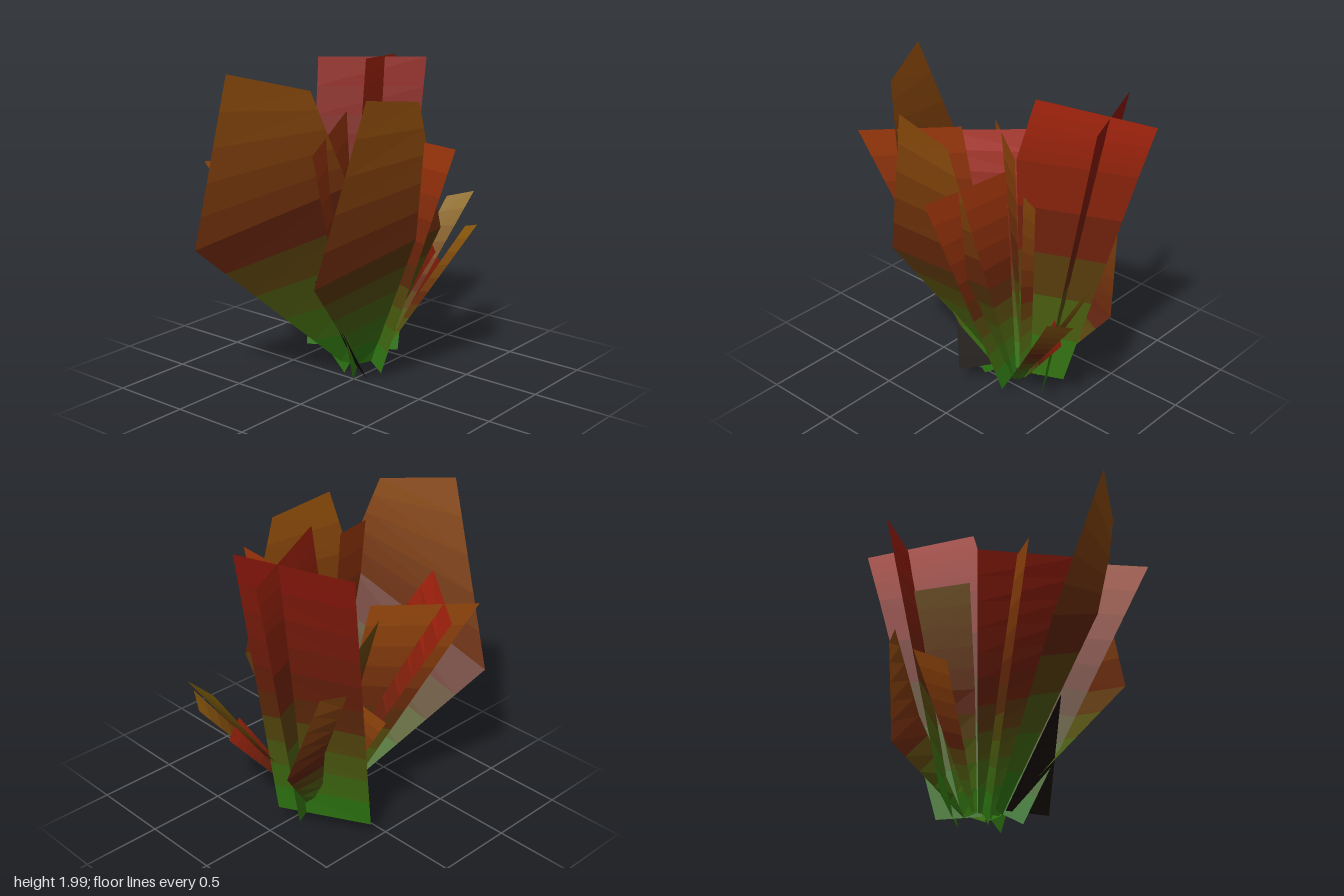
import * as THREE from 'three';

const BASE = 0x148214, MID = 0x5e200a;
const BANDS = 5;

// Each blade: tip colour, then rows of [left, right] edge points from root to tip.
const BLADES = {
  frontBlade: [0x8a4a0c, [[-0.1, 0.1, 0], [0.01, 0.1, -0.03]], [[-0.6, 0.9, 0.74], [0.35, 1.39, 0.48]], [[-0.2, 2, 0.85], [0.23, 1.93, 0.65]]],
  leftBlade: [0x95520c, [[0.01, 0.1, -0.04], [0.05, 0.1, -0.17]], [[0.26, 0.82, 0.67], [0.43, 1, -0.29]], [[0.41, 1.86, 0.4], [0.46, 1.8, -0.02]]],
  frontRightBlade: [0xa0200c, [[-0.1, 0.1, -0.12], [0.01, 0.1, -0.05]], [[-0.4, 0.77, 0.09], [0.01, 0.95, 0.38]], [[-0.69, 1.41, 0.3], [-0.21, 1.46, 0.67]]],
  backBlade: [0x8c160c, [[-0.47, 0.1, -0.1], [0.05, 0.1, -0.38]], [[-0.64, 1.9, -0.43], [0.01, 1.93, -0.7]]],
  sideRightBlade: [0x6b4a0c, [[-0.08, 0.1, -0.25], [-0.11, 0.1, -0.12]], [[-0.36, 0.8, -0.26], [-0.25, 0.8, -0.04]], [[-0.53, 1.4, -0.29], [-0.39, 1.42, 0.02]]],
  // upright blades standing edge-on to the centre
  backFin: [0xa8240c, [[-0.04, 0.1, -0.14], [-0.15, 0.1, -0.39]], [[-0.025, 1.58, -0.1], [-0.306, 1.58, -0.76]], [[-0.07, 1.97, -0.2], [-0.34, 1.9, -0.845]]],
  frontFin: [0xa03a0c, [[0, 0.12, -0.05], [0.06, 0.04, 0.08]], [[0.11, 1.74, 0.2], [0.37, 1.62, 0.8]]],
  frontRightFin: [0x9c4a0c, [[-0.08, 0.12, -0.11], [-0.11, 0.01, -0.04]], [[-0.24, 1.43, 0.1], [-0.63, 1.41, 0.61]]],
  leftFin: [0xa8380c, [[0, 0.12, -0.13], [0.12, 0.04, -0.12]], [[0.1, 1.56, -0.13], [0.685, 1.55, -0.06]]],
  rightFin: [0x9c4a0c, [[-0.08, 0.12, -0.14], [-0.14, 0.1, -0.14]], [[-0.25, 0.99, -0.16], [-0.65, 0.94, -0.18]]],
  innerFin: [0x8c4a0c, [[-0.03, 0.1, -0.13], [0.02, 0.3, -0.27]], [[-0.02, 1.36, -0.16], [0.05, 1.36, -0.31]]],
  // short drooping blades at the back
  longBackLeaf: [0x8c6a0c, [[-0.06, 0.1, -0.2], [0.06, 0.1, -0.18]], [[0.12, 1.04, -0.79], [0.29, 1.09, -0.845]]],
  shortBackLeaf: [0x8c5a0c, [[0.01, 0.1, -0.18], [0.08, 0.12, -0.16]], [[0.27, 0.87, -0.785], [0.41, 0.92, -0.71]]],
  smallBackFin: [0xa0200c, [[-0.01, 0.15, -0.2], [0, 0.1, -0.2]], [[0.17, 0.78, -0.57], [0.19, 0.64, -0.64]]],
  backRightLeaf: [0x7a400c, [[-0.14, 0.1, -0.2], [-0.08, 0.1, -0.24]], [[-0.35, 0.68, -0.37], [-0.3, 0.59, -0.62]], [[-0.56, 1.17, -0.4], [-0.47, 1.15, -0.52]]],
  // dark pointed shoot in front
  frontShoot: [0x120a04, [[0, 0.12, 0], [0.22, 0.12, 0.15]], [[0.015, 0.75, 0.38], [0.02, 0.75, 0.38]]],
};

const lerp = (a, b, t) => a.map((v, i) => v + (b[i] - v) * t);

// One flat band between two edge rows
function band([a, b], [c, d], color) {
  const geometry = new THREE.BufferGeometry();
  geometry.setAttribute('position', new THREE.Float32BufferAttribute([...a, ...b, ...d, ...a, ...d, ...c], 3));
  geometry.computeVertexNormals();
  const mesh = new THREE.Mesh(geometry, new THREE.MeshStandardMaterial({ color, side: THREE.DoubleSide, flatShading: true }));
  mesh.name = 'bladeBand';
  return mesh;
}

// Green at the root, brown in the middle, warm at the tip
function ramp(t, tip) {
  const c = new THREE.Color(BASE);
  return t < 0.5 ? c.lerp(new THREE.Color(MID), t * 2) : c.set(MID).lerp(new THREE.Color(tip), t * 2 - 1);
}

function makeBlade(name, tip, rows) {
  const blade = new THREE.Group();
  blade.name = name;
  const spans = rows.length - 1, steps = spans === 1 ? BANDS * 2 : BANDS;
  const height = rows[spans][0][1];
  for (let s = 0; s < spans; s++) {
    const at = t => [0, 1].map(k => lerp(rows[s][k], rows[s + 1][k], t));
    for (let i = 0; i < steps; i++) {
      const [l, r] = at((i + 0.5) / steps);
      const color = name === 'frontShoot' ? tip : ramp(Math.min(1, (l[1] + r[1]) / 2 / height), tip);
      blade.add(band(at(i / steps), at((i + 1) / steps), color));
    }
  }
  return blade;
}

export function createModel() {
  const plant = new THREE.Group();
  plant.name = 'spikyPlant';
  for (const [name, [tip, ...rows]] of Object.entries(BLADES)) plant.add(makeBlade(name, tip, rows));
  return plant;
}
